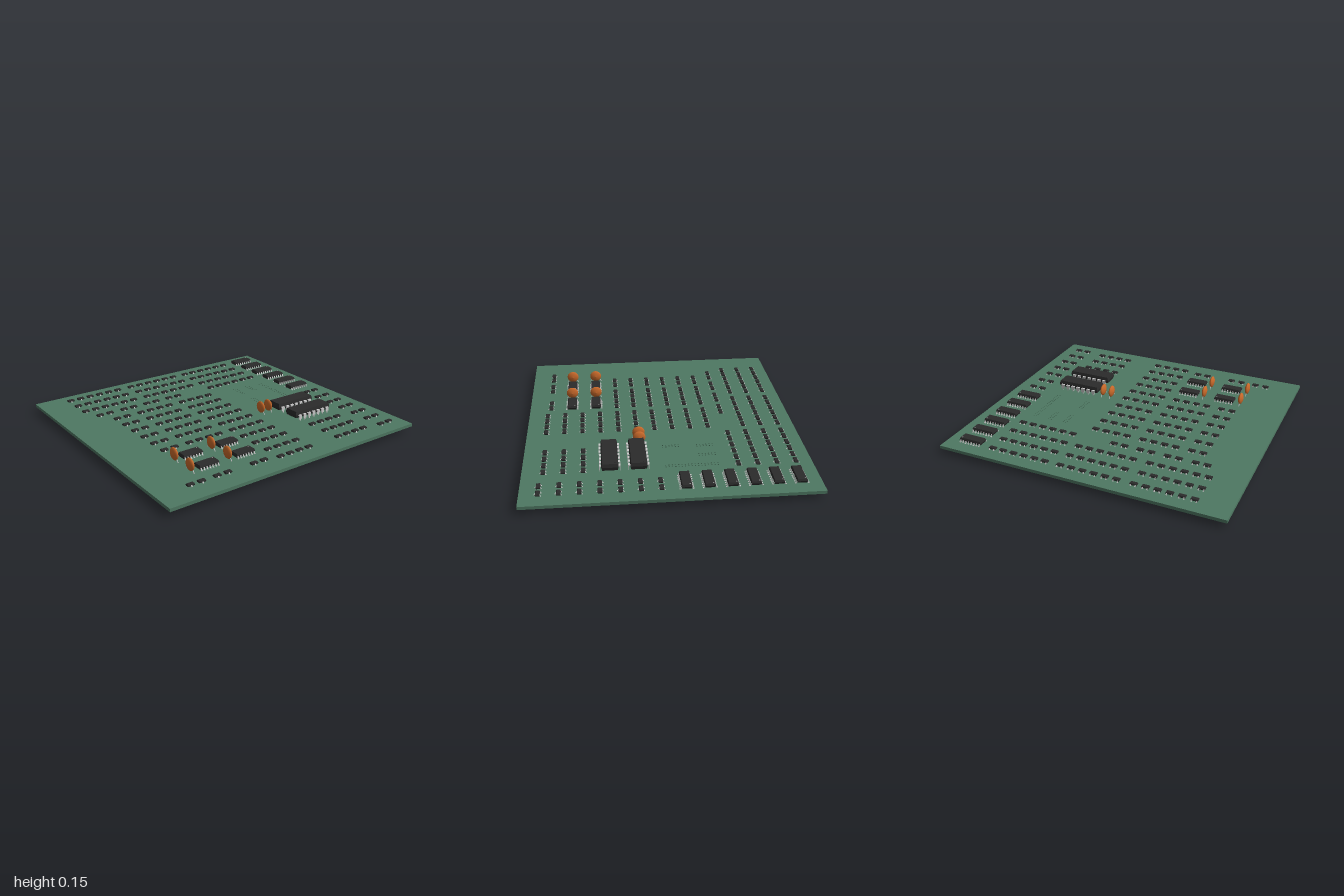
import * as THREE from 'three';
import { mergeGeometries } from 'three/addons/utils/BufferGeometryUtils.js';

const mat = (color, extra = {}) => new THREE.MeshStandardMaterial({ color, ...extra });
const GREEN = mat(0x4e7862), BLACK = mat(0x2b2b2b, { flatShading: true });
const ORANGE = mat(0xc8692a), METAL = mat(0xcccccc), MARK = mat(0x8a8a8a);
const BOTTOM = 0.035, TOP = 0.057; // board faces

// Moulded package: a box whose top and bottom faces are drawn in by a draft
function moulded(w, h, l, draft, y0) {
  const g = new THREE.BoxGeometry(w, h, l, 1, 2, 1);
  const p = g.attributes.position;
  for (let i = 0; i < p.count; i++) {
    if (Math.abs(p.getY(i)) < h / 4) continue;
    p.setX(i, p.getX(i) - Math.sign(p.getX(i)) * draft);
    p.setZ(i, p.getZ(i) - Math.sign(p.getZ(i)) * draft);
  }
  g.translate(0, y0 + h / 2, 0);
  return g;
}

const box = (w, h, l, x, y, z) => new THREE.BoxGeometry(w, h, l).translate(x, y, z);

// Gull-wing lead from x0 out to x1, mirrored for side -1
function gullLead(x0, x1, h, t, width, side, z) {
  const d = x1 - x0, a = x0 + d * 0.4, b = x0 + d * 0.6;
  const pts = [[x0, h], [a, h], [b, t], [x1, t], [x1, 0], [b - t, 0], [a - t, h - t], [x0, h - t]];
  const s = new THREE.Shape(pts.map(([x, y]) => new THREE.Vector2(x, y)));
  const g = new THREE.ExtrudeGeometry(s, { depth: width, bevelEnabled: false });
  g.translate(0, 0, -width / 2);
  if (side < 0) g.rotateY(Math.PI);
  return g.translate(0, 0, z);
}

// Pin positions centred on zero
const centred = (n, pitch) => Array.from({ length: n }, (_, i) => (i - (n - 1) / 2) * pitch);
const run = (start, n) => Array.from({ length: n }, (_, i) => start + i * 0.079);

function part(name, x, y, z, pieces) {
  const g = new THREE.Group();
  g.name = name;
  for (const [piece, geometry, material] of pieces) {
    const m = new THREE.Mesh(geometry, material);
    m.name = piece;
    g.add(m);
  }
  g.position.set(x, y, z);
  return g;
}

// Small three-lead transistor
const transistor = [
  ['body', moulded(0.029, 0.014, 0.05, 0.003, 0.002), BLACK],
  ['leads', mergeGeometries([[-1, -0.016], [-1, 0.016], [1, 0]].map(
    ([side, z]) => gullLead(0.012, 0.022, 0.01, 0.002, 0.008, side, z))), METAL],
];

// Surface-mount chip with n leads per side
function surfaceChip(n, length) {
  const leads = [];
  for (const side of [-1, 1])
    for (const z of centred(n, 0.0213)) leads.push(gullLead(0.03, 0.046, 0.017, 0.003, 0.008, side, z));
  return [
    ['body', moulded(0.068, 0.027, length, 0.005, 0.004), BLACK],
    ['leads', mergeGeometries(leads), METAL],
    ['pinOneMark', new THREE.CylinderGeometry(0.005, 0.005, 0.001, 12)
      .translate(-0.02, 0.0313, -length / 2 + 0.016), MARK],
  ];
}

// Through-hole chip, seven pins per side reaching below the board
function throughHoleChip() {
  const pins = [];
  for (const s of [-1, 1])
    for (const z of centred(7, 0.043)) {
      pins.push(box(0.017, 0.005, 0.025, s * 0.0585, 0.0395, z));
      pins.push(box(0.005, 0.03, 0.025, s * 0.0655, 0.027, z));
      pins.push(box(0.005, 0.069, 0.008, s * 0.0655, -0.0225, z));
    }
  return [
    ['body', moulded(0.11, 0.047, 0.322, 0.006, 0.018), BLACK],
    ['pins', mergeGeometries(pins), METAL],
    ['pinOneMark', new THREE.CylinderGeometry(0.007, 0.007, 0.001, 12).translate(-0.035, 0.0653, -0.135), BLACK],
  ];
}

// Lens-shaped disc capacitor with two splayed wires
function discCapacitor() {
  const R = 0.043, T = 0.019, profile = [];
  for (let i = 0; i <= 12; i++) {
    const v = -1 + i / 6;
    profile.push(new THREE.Vector2(R * (1 - v * v) ** 0.8, v * T));
  }
  const disc = new THREE.LatheGeometry(profile, 32).rotateX(Math.PI / 2).translate(0, 0.046, 0);
  const wires = [-1, 1].map(s => new THREE.TubeGeometry(new THREE.CatmullRomCurve3(
    [[0.022, 0.026], [0.036, 0.012], [0.043, 0], [0.043, -0.035]]
      .map(([x, y]) => new THREE.Vector3(s * x, y, 0))), 10, 0.003, 6));
  return [['disc', disc, ORANGE], ['wires', mergeGeometries(wires), METAL]];
}

// Board with drilled two-row connector holes
function board() {
  const s = new THREE.Shape([[-0.94, -1], [0.94, -1], [0.94, 1], [-0.94, 1]].map(p => new THREE.Vector2(...p)));
  const r = 0.005, pitch = 0.0213;
  for (const [x0, z0, n] of [[-0.322, -0.635, 17], [-0.322, -0.513, 6], [-0.322, -0.395, 6], [-0.09, -0.388, 6]])
    for (let i = 0; i < n; i++)
      for (const k of [-0.5, 0.5]) {
        const hole = new THREE.Path();
        hole.absarc(x0 + i * pitch, -(z0 + k * pitch), r, 0, Math.PI * 2, true);
        s.holes.push(hole);
      }
  const g = new THREE.ExtrudeGeometry(s, { depth: TOP - BOTTOM, bevelEnabled: false, curveSegments: 4 });
  return g.rotateX(-Math.PI / 2).translate(0, BOTTOM, 0);
}

export function createModel() {
  const root = new THREE.Group();
  root.name = 'circuitBoard';
  const pcb = new THREE.Mesh(board(), GREEN);
  pcb.name = 'board';
  root.add(pcb);
  const place = (name, pieces, xs, zs) => {
    for (const x of xs) for (const z of zs) root.add(part(name, x, TOP, z, pieces));
  };

  // Transistor grid
  const col = (a, b) => Array.from({ length: b - a + 1 }, (_, i) => -0.831 + (a + i) * 0.126);
  const grid = [
    [col(0, 2), [...run(-0.651, 6), ...run(-0.143, 6), ...run(0.37, 6)]],
    [col(3, 3), [...run(-0.651, 6), ...run(0.055, 2), ...run(0.248, 2), ...run(0.441, 2), ...run(0.635, 2)]],
    [col(4, 13), run(-0.143, 4)],
    [col(4, 9), [...run(0.212, 4), ...run(0.563, 2)]],
    [[0.549, 0.677, 0.803], run(-0.651, 4)],
    [col(7, 13).map(x => x + 0.016), run(-0.884, 2)],
    [[0.786], [...run(0.212, 2), ...run(0.492, 2), ...run(0.684, 2)]],
  ];
  for (const [xs, zs] of grid) place('transistor', transistor, xs, zs);

  // Chips
  place('wideRowChip', surfaceChip(8, 0.166), centred(6, 0.144).map(x => x - 0.447), [-0.827]);
  place('smallChip', surfaceChip(7, 0.148), [0.455, 0.632], [0.26, 0.54]);
  place('throughHoleChip', throughHoleChip(), [0.193, 0.378], [-0.527]);

  // Capacitors
  const cap = discCapacitor();
  place('discCapacitor', cap, [0.17], [-0.328, -0.26]);
  place('discCapacitor', cap, [0.453, 0.632], [0.38, 0.662]);
  return root;
}
